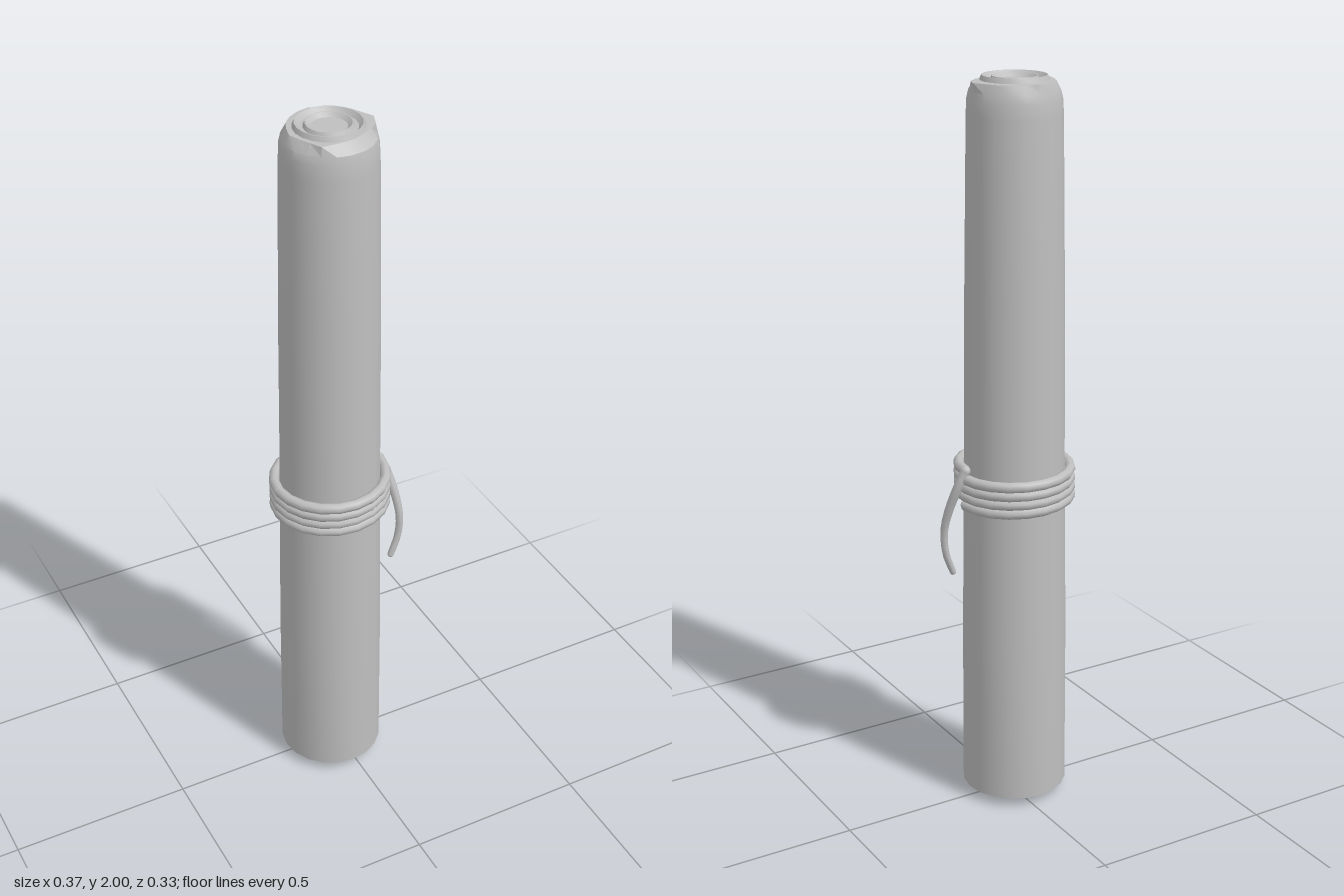
import * as THREE from 'three';
import { toCreasedNormals } from 'three/addons/utils/BufferGeometryUtils.js';

const CX = -0.02; // axis of the post

// Radius of the roughly hewn top polygon (x, z around the axis) at a given angle
const HEWN = [[0.12, 0], [0.1, 0.05], [0.02, 0.09], [-0.065, 0.092], [-0.09, 0.04],
  [-0.105, 0], [-0.09, -0.055], [-0.05, -0.1], [0.0, -0.112], [0.08, -0.08]];
function hewnRadius(a) {
  const dx = Math.cos(a), dz = Math.sin(a);
  for (let i = 0; i < HEWN.length; i++) {
    const [ax, az] = HEWN[i], [bx, bz] = HEWN[(i + 1) % HEWN.length];
    const ex = bx - ax, ez = bz - az, d = dx * ez - dz * ex;
    const t = (ax * ez - az * ex) / d, s = (ax * dz - az * dx) / d;
    if (t > 0 && s >= -1e-6 && s <= 1 + 1e-6) return t;
  }
  return 0.1;
}

// Lengthens or shortens a strand from full radius to a finer tip, with closed ends
function strand(curve, segments, r0, r1, sides) {
  const g = new THREE.TubeGeometry(curve, segments, r0, sides, false);
  const p = g.attributes.position, c = new THREE.Vector3(), v = new THREE.Vector3();
  for (let i = 0; i <= segments; i++) {
    curve.getPointAt(i / segments, c);
    const k = THREE.MathUtils.lerp(1, r1 / r0, i / segments);
    for (let j = 0; j <= sides; j++) {
      const n = i * (sides + 1) + j;
      v.fromBufferAttribute(p, n).sub(c).multiplyScalar(k).add(c);
      p.setXYZ(n, v.x, v.y, v.z);
    }
  }
  return g;
}

export function createModel() {
  const group = new THREE.Group();
  const grey = new THREE.MeshStandardMaterial({ color: 0xbfbfbf });
  grey.name = 'plain grey';
  const add = (name, geometry, x = 0, y = 0, z = 0) => {
    const mesh = new THREE.Mesh(geometry, grey);
    mesh.name = name;
    mesh.position.set(x, y, z);
    group.add(mesh);
    return mesh;
  };

  // Tapered post with a blunt foot and a chipped top bevel
  const profile = [[0, 0.003], [0.07, 0.006], [0.144, 0.03], [0.142, 0.5], [0.135, 1],
    [0.131, 1.45], [0.124, 1.9], [0.122, 1.94], [0.117, 1.962], [0.1, 1.986], [0, 1.988]];
  const body = new THREE.LatheGeometry(profile.map(([r, y]) => new THREE.Vector2(r, y)), 20);
  const p = body.attributes.position;
  for (let i = 0; i < p.count; i++) {
    if (Math.abs(p.getY(i) - 1.986) > 0.0005) continue;
    const a = Math.atan2(p.getZ(i), p.getX(i)), r = hewnRadius(a);
    p.setX(i, r * Math.cos(a));
    p.setZ(i, r * Math.sin(a));
  }
  add('post', toCreasedNormals(body, 0.45), CX);

  // Raised growth rings on the cut top
  for (const [r, h] of [[0.083, 0.012], [0.057, 0.01]]) {
    const ring = [[r + 0.006, 0], [r + 0.001, h], [r - 0.001, h], [r - 0.012, 0]];
    const g = new THREE.LatheGeometry(ring.map(([x, y]) => new THREE.Vector2(x, y)), 20);
    add('growthRing', toCreasedNormals(g, 0.5), CX, 1.987);
  }

  // Rope wound four times round the post
  const turns = 4, steps = turns * 20, coil = [];
  for (let i = 0; i <= steps; i++) {
    const a = (i / 20) * Math.PI * 2;
    coil.push(new THREE.Vector3(CX + 0.15 * Math.cos(a), 0.974 - (i / 20) * 0.0245, 0.15 * Math.sin(a)));
  }
  const wound = new THREE.CatmullRomCurve3(coil);
  add('ropeCoil', strand(wound, steps, 0.0145, 0.0145, 8));
  add('ropeEnd', new THREE.SphereGeometry(0.0145, 8, 6), coil[steps].x, coil[steps].y, coil[steps].z);

  // Loose end hanging from the top of the coil
  const tail = new THREE.CatmullRomCurve3([[0.13, 0.974, 0], [0.148, 0.93, 0.008], [0.162, 0.87, 0.028],
    [0.17, 0.8, 0.047], [0.165, 0.73, 0.05], [0.143, 0.67, 0.051]].map((q) => new THREE.Vector3(...q)));
  add('ropeTail', strand(tail, 12, 0.014, 0.009, 8));
  add('ropeKnot', new THREE.SphereGeometry(0.0145, 8, 6), 0.13, 0.974, 0);
  add('ropeTip', new THREE.SphereGeometry(0.009, 8, 6), 0.143, 0.67, 0.051);

  return group;
}
